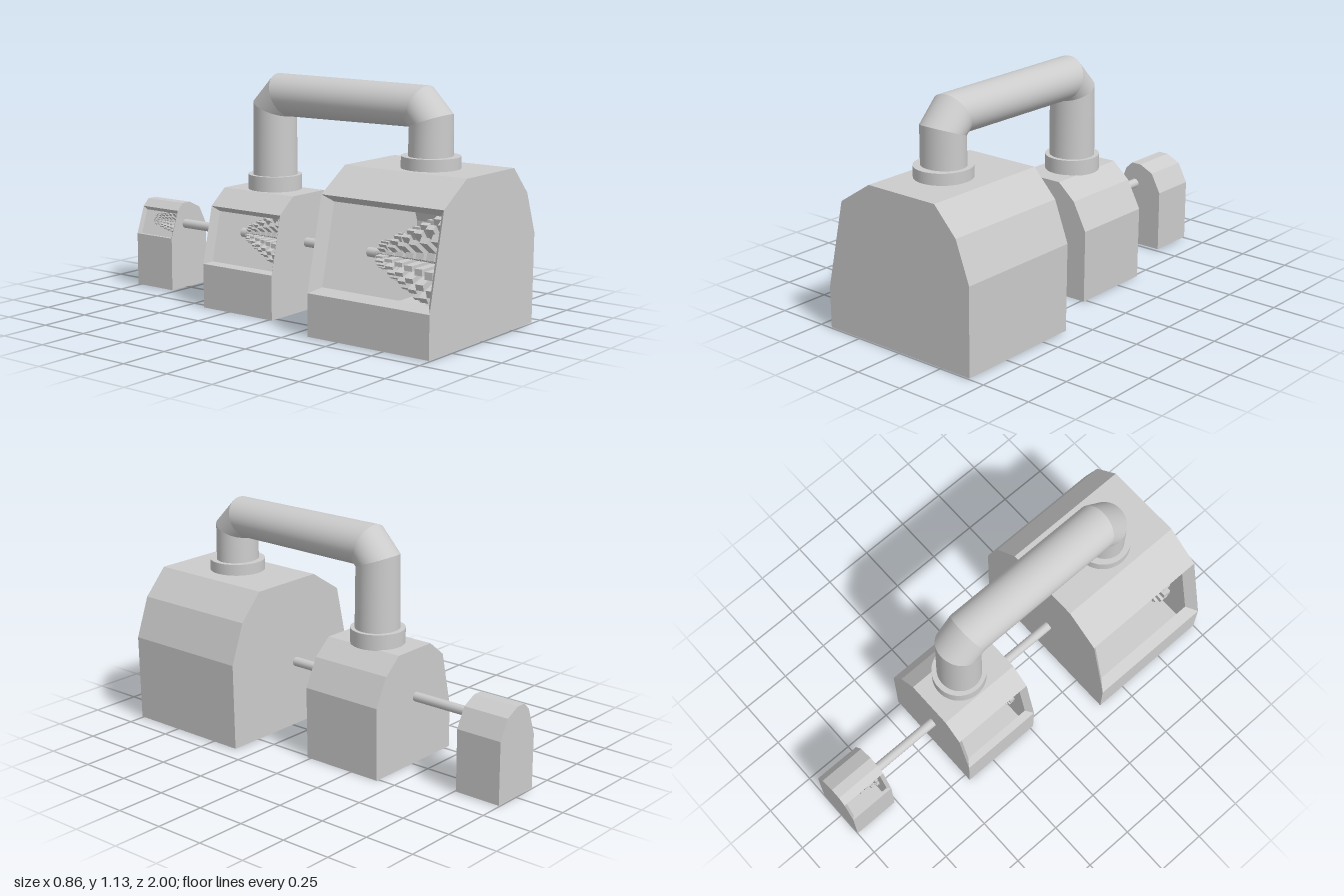
import * as THREE from 'three';
import { mergeGeometries } from 'three/addons/utils/BufferGeometryUtils.js';

const grey = new THREE.MeshStandardMaterial({ color: 0xcccccc });
const flat = new THREE.MeshStandardMaterial({ color: 0xcccccc, flatShading: true, side: THREE.DoubleSide });
const SHAFT = { x: -0.02, y: 0.333, r: 0.023 };

function add(parent, name, geometry, material = grey) {
  const mesh = new THREE.Mesh(geometry, material);
  mesh.name = name;
  parent.add(mesh);
  return mesh;
}

// Hollow casing: a clockwise profile run along z, open on its second edge (the sloping side)
function casingGeometry(profile, z0, z1, wall, centreY) {
  const pos = [];
  const tri = (...p) => p.forEach(v => pos.push(...v));
  const quad = (a, b, c, d) => { tri(a, b, c); tri(a, c, d); };
  const inner = profile.map(([x, y]) => [x * 0.87, centreY + (y - centreY) * 0.87]);
  const n = profile.length;

  const shell = (p, back, front, outward) => {
    const at = (i, z) => [...p[i % n], z];
    for (let i = 0; i < n; i++) {
      if (i === 1) continue; // window
      const c = [at(i, back), at(i, front), at(i + 1, front), at(i + 1, back)];
      quad(...(outward ? c : c.reverse()));
    }
    for (let i = 1; i < n - 1; i++) {
      const f = [at(0, front), at(i + 1, front), at(i, front)];
      const b = [at(0, back), at(i, back), at(i + 1, back)];
      tri(...(outward ? f : f.reverse()));
      tri(...(outward ? b : b.reverse()));
    }
    return [at(1, back), at(1, front), at(2, front), at(2, back)];
  };
  const o = shell(profile, z0, z1, true);
  const w = shell(inner, z0 + wall, z1 - wall, false);
  // Tapered frame round the window
  for (let i = 0; i < 4; i++) {
    const j = (i + 1) % 4;
    quad(o[i], o[j], w[j], w[i]);
  }
  const g = new THREE.BufferGeometry();
  g.setAttribute('position', new THREE.Float32BufferAttribute(pos, 3));
  g.computeVertexNormals();
  return g;
}

// Rows of radial blades that grow longer towards the front
function bladesGeometry(z0, z1, r0, r1) {
  const parts = [], stages = 6, count = 20;
  const step = (z1 - z0) / stages;
  for (let s = 0; s < stages; s++) {
    const r = r0 + (r1 - r0) * s / (stages - 1);
    for (let k = 0; k < count; k++) {
      const blade = new THREE.BoxGeometry(r * 0.13, r, step * 0.5);
      blade.translate(0, r / 2, z0 + (s + 0.5) * step);
      blade.rotateZ(k / count * Math.PI * 2);
      parts.push(blade);
    }
  }
  return mergeGeometries(parts).translate(SHAFT.x, SHAFT.y, 0);
}

// Pipe lofted through tilted rings; each ring is [outerZ, outerY, innerZ, innerY]
function pipeGeometry(rings, x, rx, sides = 48) {
  const segments = [];
  for (let s = 0; s < rings.length - 1; s++) {
    const pos = [], index = [];
    for (const [oz, oy, iz, iy] of [rings[s], rings[s + 1]]) {
      for (let k = 0; k < sides; k++) {
        const a = k / sides * Math.PI * 2, c = Math.cos(a) / 2;
        pos.push(x + rx * Math.sin(a), (oy + iy) / 2 + (oy - iy) * c, (oz + iz) / 2 + (oz - iz) * c);
      }
    }
    for (let k = 0; k < sides; k++) {
      const j = (k + 1) % sides;
      index.push(k, j, sides + j, k, sides + j, sides + k);
    }
    const g = new THREE.BufferGeometry();
    g.setAttribute('position', new THREE.Float32BufferAttribute(pos, 3));
    g.setIndex(index);
    g.computeVertexNormals();
    segments.push(g);
  }
  return mergeGeometries(segments);
}

export function createModel() {
  const model = new THREE.Group();
  model.name = 'turbineSet';

  const units = [
    { name: 'largeTurbine', z: [0.345, 1], wall: 0.04, cy: 0.38, blades: [0.45, 0.94, 0.07, 0.27],
      profile: [[-0.43, 0.005], [-0.43, 0.205], [-0.33, 0.64], [-0.155, 0.753], [0.235, 0.753],
        [0.355, 0.625], [0.427, 0.43], [0.42, 0.005]] },
    { name: 'mediumTurbine', z: [-0.407, 0.018], wall: 0.028, cy: 0.29, blades: [-0.34, -0.02, 0.05, 0.175],
      profile: [[-0.285, 0], [-0.285, 0.215], [-0.222, 0.49], [-0.125, 0.568], [0.11, 0.568],
        [0.2, 0.49], [0.27, 0.355], [0.265, 0]] },
    { name: 'smallTurbine', z: [-1, -0.763], wall: 0.016, cy: 0.27, blades: [-0.96, -0.79, 0.03, 0.065],
      profile: [[-0.125, 0.005], [-0.125, 0.27], [-0.077, 0.405], [-0.04, 0.44], [0.012, 0.44],
        [0.085, 0.405], [0.135, 0.31], [0.133, 0.005]] },
  ];
  for (const u of units) {
    const group = new THREE.Group();
    group.name = u.name;
    add(group, 'casing', casingGeometry(u.profile, u.z[0], u.z[1], u.wall, u.cy), flat);
    add(group, 'rotorBlades', bladesGeometry(...u.blades));
    model.add(group);
  }

  // Common shaft through all three casings
  const shaft = add(model, 'shaft', new THREE.CylinderGeometry(SHAFT.r, SHAFT.r, 1.92, 16));
  shaft.rotation.x = Math.PI / 2;
  shaft.position.set(SHAFT.x, SHAFT.y, 0);

  // Crossover pipe with mitred bends
  const px = 0.012;
  const pipe = pipeGeometry([
    [0.80, 0.76, 0.60, 0.76],
    [0.797, 1.0, 0.605, 0.93],
    [0.68, 1.122, 0.60, 0.93],
    [-0.18, 1.127, -0.10, 0.925],
    [-0.30, 1.0, -0.10, 0.925],
    [-0.307, 0.58, -0.093, 0.58],
  ], px, 0.11);
  add(model, 'crossoverPipe', pipe, new THREE.MeshStandardMaterial({ color: 0xcccccc, side: THREE.DoubleSide }));

  // Collars where the pipe meets the casings
  for (const [z, y0, y1, r] of [[0.702, 0.75, 0.808, 0.136], [-0.202, 0.565, 0.64, 0.13]]) {
    const collar = add(model, 'pipeCollar', new THREE.CylinderGeometry(r, r, y1 - y0, 48));
    collar.position.set(px, (y0 + y1) / 2, z);
  }
  return model;
}
